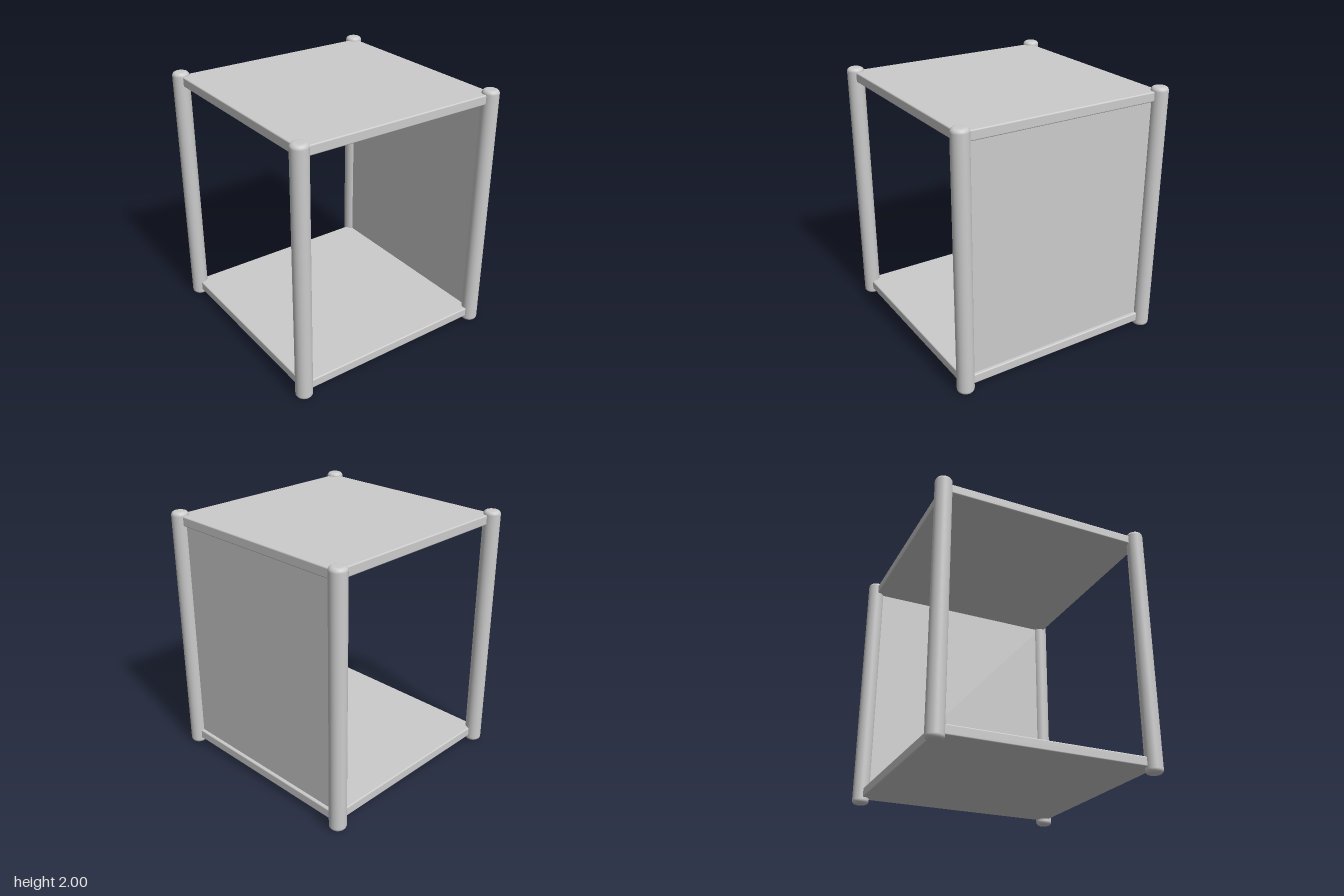
import * as THREE from 'three';
import { RoundedBoxGeometry } from 'three/addons/geometries/RoundedBoxGeometry.js';

const material = new THREE.MeshStandardMaterial({ color: 0xcccccc });

function addMesh(group, name, geometry, x, y, z) {
  const mesh = new THREE.Mesh(geometry, material);
  mesh.name = name;
  mesh.position.set(x, y, z);
  group.add(mesh);
}

// Round post with softly rounded ends, standing on y = 0
function postGeometry(radius, height, round) {
  const points = [new THREE.Vector2(0, 0)];
  const steps = 6;
  for (const top of [false, true]) {
    for (let i = 0; i <= steps; i++) {
      const a = (i / steps) * Math.PI / 2;
      const r = radius - round + round * (top ? Math.cos(a) : Math.sin(a));
      const y = top ? height - round + round * Math.sin(a) : round - round * Math.cos(a);
      points.push(new THREE.Vector2(r, y));
    }
  }
  points.push(new THREE.Vector2(0, height));
  return new THREE.LatheGeometry(points, 40);
}

export function createModel() {
  const group = new THREE.Group();
  group.name = 'sideTable';
  const offset = 0.82;

  // Four corner posts
  const post = postGeometry(0.065, 2, 0.03);
  for (const [x, side] of [[offset, 'Left'], [-offset, 'Right']]) {
    addMesh(group, `front${side}Post`, post, x, 0, offset);
    addMesh(group, `back${side}Post`, post, x, 0, -offset);
  }

  // Top and bottom shelves, with eased edges
  const shelf = new RoundedBoxGeometry(1.67, 0.075, 1.66, 3, 0.01);
  addMesh(group, 'topShelf', shelf, 0.003, 1.933, 0.01);
  addMesh(group, 'bottomShelf', shelf, 0.003, 0.083, 0.01);

  // Single side panel, set in slightly from the shelf edges
  addMesh(group, 'leftPanel', new THREE.BoxGeometry(0.02, 1.8, 1.62), 0.802, 1.008, 0);

  return group;
}
